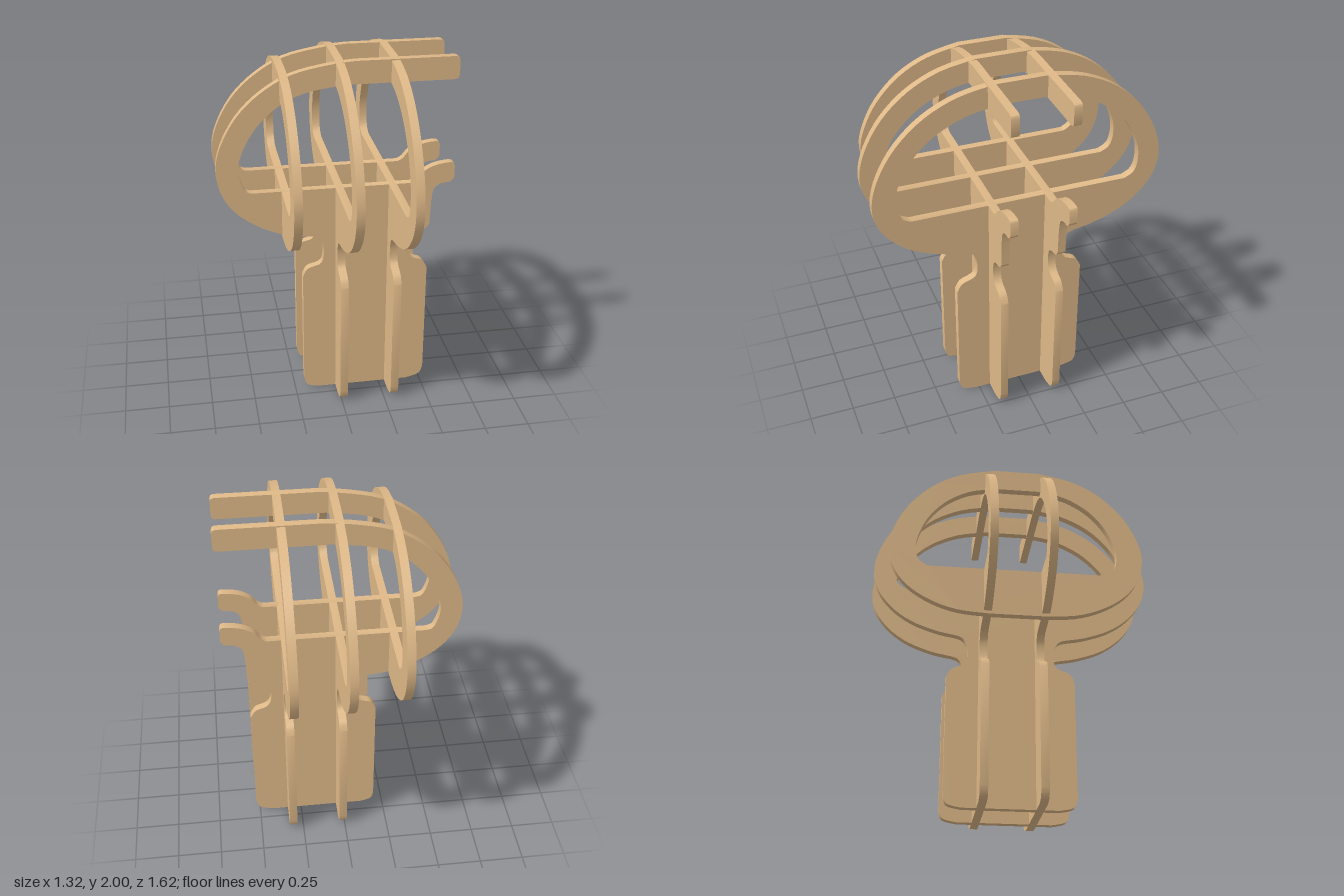
import * as THREE from 'three';
import { toCreasedNormals } from 'three/addons/utils/BufferGeometryUtils.js';

const THICK = 0.045;

// Each run of points becomes a smooth curve; runs are joined by straight lines.
function trace(runs) {
  const pts = [];
  for (const run of runs) {
    const v = run.map(([x, y]) => new THREE.Vector2(x, y));
    pts.push(...(v.length > 2 ? new THREE.SplineCurve(v).getPoints((v.length - 1) * 4) : v));
  }
  return pts;
}

// Adds the mirror image of a half outline that runs from top to bottom.
function mirrored(runs) {
  const other = runs.map((r) => r.map(([x, y]) => [-x, y]).reverse()).reverse();
  return [...runs, ...other];
}

// The hole is wound against the outline so that its walls face inwards.
function plate(outline, hole) {
  const shape = new THREE.Shape(trace(outline));
  if (hole) shape.holes.push(new THREE.Path(trace(hole).reverse()));
  const geo = new THREE.ExtrudeGeometry(shape, { depth: THICK, bevelEnabled: false });
  geo.translate(0, 0, -THICK / 2);
  return toCreasedNormals(geo, 0.5);
}

export function createModel() {
  const group = new THREE.Group();
  const wood = new THREE.MeshStandardMaterial({ color: 0xdeb887 });
  wood.name = 'plywood';
  const add = (name, geo) => {
    const mesh = new THREE.Mesh(geo, wood);
    mesh.name = name;
    group.add(mesh);
    return mesh;
  };

  // Lengthwise plates: stem, neck, open C-shaped head with upper and lower arms
  const side = plate([
    [[0.658, 1.975], [0.652, 1.993], [0.635, 2.0]],
    [[0.1, 2.0], [-0.05, 1.985], [-0.25, 1.94], [-0.41, 1.85], [-0.54, 1.725], [-0.63, 1.565],
      [-0.66, 1.42], [-0.63, 1.28], [-0.55, 1.165], [-0.42, 1.075], [-0.28, 1.02], [-0.14, 1.0],
      [-0.1, 0.98], [-0.08, 0.94], [-0.08, 0.87], [-0.1, 0.825], [-0.17, 0.8], [-0.198, 0.75]],
    [[-0.198, 0.07], [-0.18, 0.02], [-0.12, 0]],
    [[0.42, 0], [0.5, 0.025], [0.522, 0.08]],
    [[0.522, 0.75], [0.49, 0.8], [0.43, 0.825], [0.402, 0.87], [0.402, 0.94], [0.43, 0.98], [0.5, 1.0], [0.527, 1.03]],
    [[0.532, 1.18], [0.545, 1.245], [0.585, 1.273], [0.635, 1.28], [0.658, 1.305]],
    [[0.658, 1.375], [0.64, 1.396], [0.55, 1.385], [0.48, 1.35], [0.44, 1.305], [0.41, 1.287]],
    [[-0.47, 1.287], [-0.51, 1.31], [-0.54, 1.42], [-0.51, 1.54], [-0.43, 1.67], [-0.3, 1.785],
      [-0.15, 1.845], [0.05, 1.873]],
    [[0.635, 1.873], [0.652, 1.88], [0.658, 1.9]],
  ]);
  add('leftSidePlate', side).position.z = -0.162;
  add('rightSidePlate', side).position.z = 0.161;

  // Crosswise plates: wide ring head on a neck and stem
  const stemOutline = mirrored([
    [[0.14, 2.0], [0.34, 1.962], [0.52, 1.876], [0.67, 1.74], [0.77, 1.575], [0.81, 1.42],
      [0.785, 1.285], [0.7, 1.17], [0.58, 1.085], [0.43, 1.03], [0.3, 1.003], [0.263, 0.965],
      [0.25, 0.9], [0.265, 0.835], [0.34, 0.8], [0.37, 0.75]],
    [[0.37, 0.07], [0.35, 0.02], [0.27, 0]],
  ]);
  const stemHole = mirrored([
    [[0.12, 1.88], [0.3, 1.847], [0.47, 1.765], [0.6, 1.64], [0.67, 1.505], [0.685, 1.4],
      [0.665, 1.32], [0.61, 1.287]],
  ]);
  const cross = plate(stemOutline, stemHole).rotateY(-Math.PI / 2);
  add('frontCrossPlate', cross).position.x = 0.309;
  const middle = add('middleCrossPlate', cross);
  middle.position.x = 0.011;
  middle.scale.z = 0.988;

  // Smaller ring at the back of the head, without a stem
  const ring = plate(
    mirrored([
      [[0.13, 1.943], [0.32, 1.9], [0.48, 1.815], [0.61, 1.685], [0.69, 1.54], [0.72, 1.41],
        [0.69, 1.27], [0.61, 1.16], [0.48, 1.075], [0.33, 1.025], [0.15, 1.01]],
    ]),
    mirrored([
      [[0.12, 1.818], [0.28, 1.785], [0.42, 1.7], [0.52, 1.575], [0.57, 1.43], [0.555, 1.33], [0.5, 1.287]],
    ]),
  ).rotateY(-Math.PI / 2);
  add('backRingPlate', ring).position.x = -0.287;

  return group;
}
